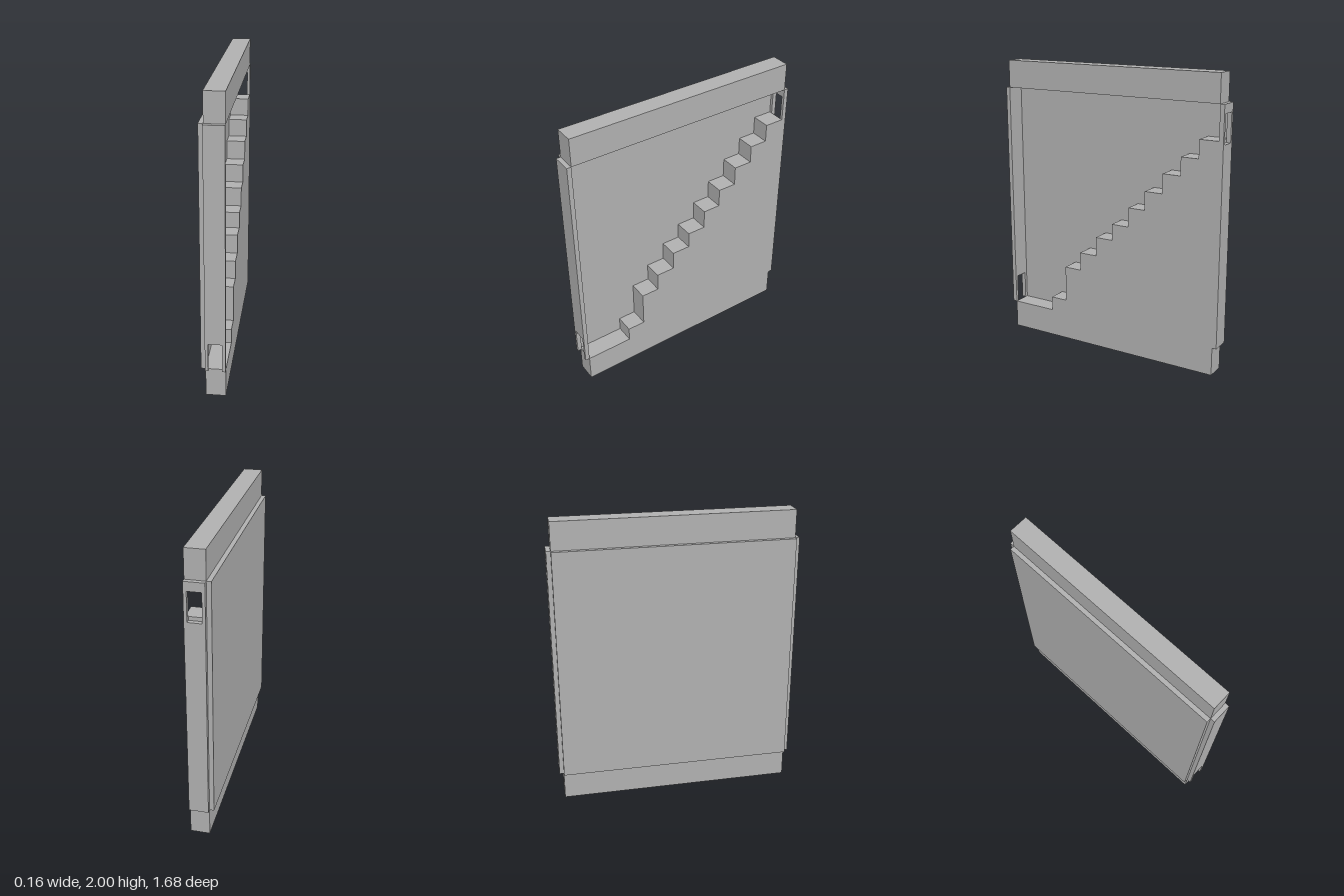
import * as THREE from 'three';

const X0 = -0.05, X1 = 0.08;      // thickness of the frame
const Z = 0.81;                   // half length of the frame
const LOW = 0.195, HIGH = 1.81;   // opening between the beams
const PLATE = 0.03;

export function createModel() {
  const model = new THREE.Group();
  const grey = new THREE.MeshStandardMaterial({ color: 0xb0b0b0 });
  grey.name = 'plain grey';

  const add = (name, geometry) => {
    const mesh = new THREE.Mesh(geometry, grey);
    mesh.name = name;
    model.add(mesh);
  };
  const box = (name, x0, x1, y0, y1, z0, z1) => {
    const g = new THREE.BoxGeometry(x1 - x0, y1 - y0, z1 - z0);
    g.translate((x0 + x1) / 2, (y0 + y1) / 2, (z0 + z1) / 2);
    add(name, g);
  };
  const outline = (points) => points.map(([a, b]) => new THREE.Vector2(a, b));

  // Beams above and below, and the closed side panel
  box('bottomBeam', X0, X1, 0, LOW, -Z, Z);
  box('topBeam', X0, X1, HIGH, 2, -Z, Z);
  box('sidePanel', -0.08, X0, LOW, HIGH, -Z, Z);

  // Solid staircase rising to the back: [z of riser, height of tread]
  const steps = [
    [0.48, 0.295], [0.355, 0.55], [0.228, 0.68], [0.095, 0.815], [-0.035, 0.93],
    [-0.165, 1.065], [-0.29, 1.195], [-0.42, 1.33], [-0.55, 1.455], [-0.675, 1.58],
  ];
  const profile = [[-Z, LOW], [steps[0][0], LOW]];
  steps.forEach(([z, y], i) => {
    profile.push([z, y], [i + 1 < steps.length ? steps[i + 1][0] : -Z, y]);
  });
  const stairs = new THREE.ExtrudeGeometry(new THREE.Shape(outline(profile)), {
    depth: X1 - X0, bevelEnabled: false,
  });
  stairs.rotateY(-Math.PI / 2);
  stairs.translate(X1, 0, 0);
  add('staircase', stairs);

  // End plates: a doorway at the foot, a window at the head of the stairs
  const endPlate = (name, shape, z) => {
    const g = new THREE.ExtrudeGeometry(shape, { depth: PLATE, bevelEnabled: false });
    g.translate(0, 0, z);
    add(name, g);
  };
  const d0 = -0.03, d1 = 0.06;
  endPlate('frontEndPlate', new THREE.Shape(outline([
    [X0, LOW], [d0, LOW], [d0, 0.39], [d1, 0.39], [d1, LOW],
    [X1, LOW], [X1, HIGH], [X0, HIGH],
  ])), Z);

  const back = new THREE.Shape(outline([[X0, LOW], [X1, LOW], [X1, HIGH], [X0, HIGH]]));
  back.holes.push(new THREE.Path(outline([[d0, 1.555], [d0, 1.75], [d1, 1.75], [d1, 1.555]])));
  endPlate('backEndPlate', back, -Z - PLATE);

  return model;
}
